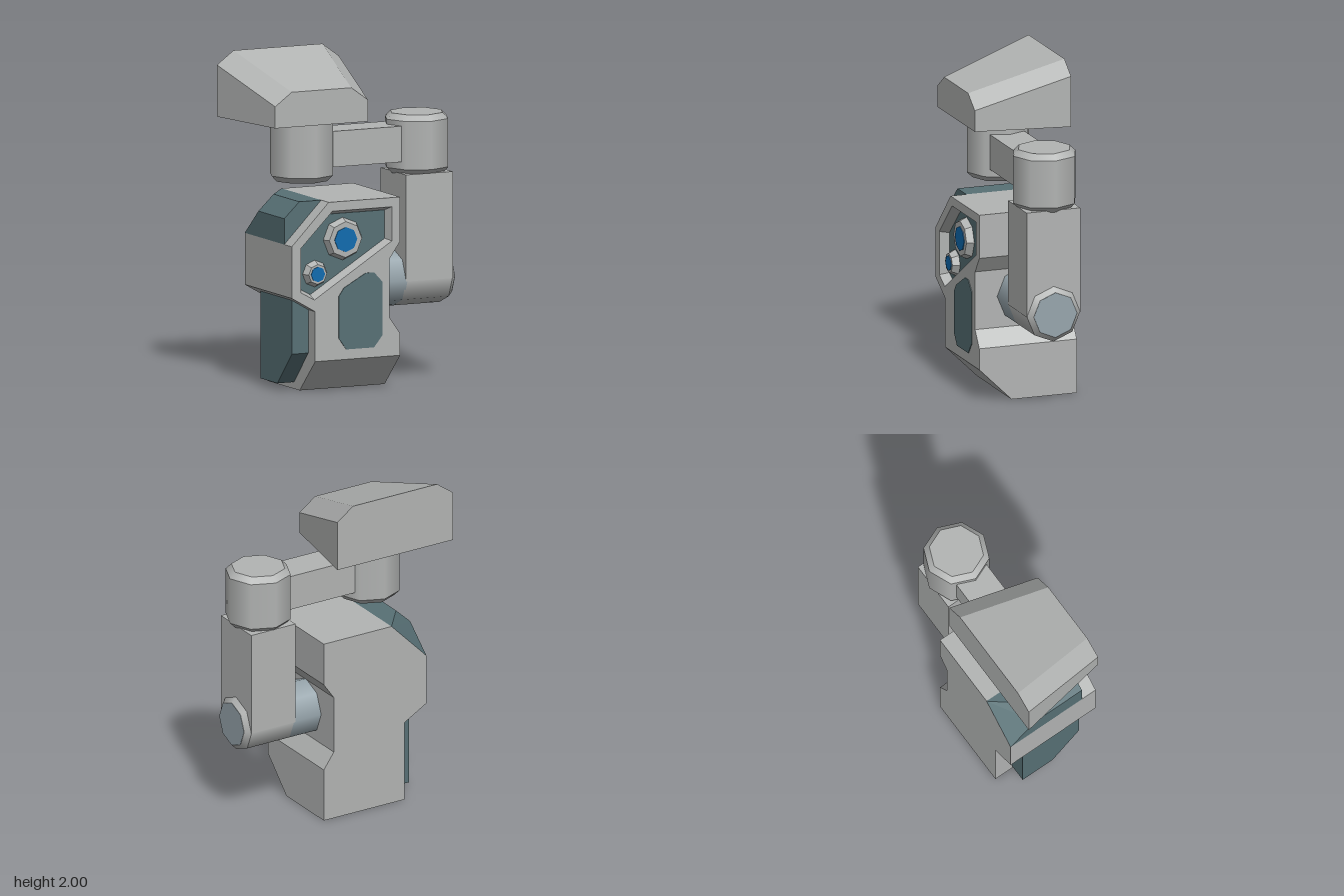
import * as THREE from 'three';
import { mergeGeometries } from 'three/addons/utils/BufferGeometryUtils.js';
import { ConvexGeometry } from 'three/addons/geometries/ConvexGeometry.js';

const material = (name, color, side = THREE.FrontSide) => {
  const m = new THREE.MeshStandardMaterial({ color, side });
  m.name = name;
  return m;
};
const v2 = (pts) => pts.map(([x, y]) => new THREE.Vector2(x, y));
const hull = (pts) => new ConvexGeometry(pts.map((p) => new THREE.Vector3(...p)));

// Flat outline pushed out from z0 to z1
function slab(pts, z0, z1, hole) {
  const shape = new THREE.Shape(v2(pts));
  if (hole) shape.holes.push(new THREE.Path(v2(hole)));
  const g = new THREE.ExtrudeGeometry(shape, { depth: z1 - z0, bevelEnabled: false });
  return g.translate(0, 0, z0);
}

// Band of flat quads between two matching outlines
function band(a, za, b, zb) {
  const pos = [];
  a.forEach((p, i) => {
    const j = (i + 1) % a.length;
    const A = [...p, za], B = [...a[j], za], C = [...b[j], zb], D = [...b[i], zb];
    pos.push(...A, ...B, ...C, ...A, ...C, ...D);
  });
  const g = new THREE.BufferGeometry();
  g.setAttribute('position', new THREE.Float32BufferAttribute(pos, 3));
  g.computeVertexNormals();
  return g;
}

// Eight-sided drum along y with rounded side shading and optional chamfered ends
function drum(r, y0, y1, bottom, top, c = 0.035) {
  const rb = bottom ? r - c : r, rt = top ? r - c : r;
  const a = bottom ? y0 + c : y0, b = top ? y1 - c : y1;
  const tube = (lo, hi, p, q) =>
    new THREE.CylinderGeometry(hi, lo, q - p, 8, 1, true).translate(0, (p + q) / 2, 0);
  const parts = [
    tube(r, r, a, b),
    new THREE.CircleGeometry(rt, 8).rotateX(-Math.PI / 2).translate(0, y1, 0),
    new THREE.CircleGeometry(rb, 8).rotateX(Math.PI / 2).translate(0, y0, 0),
  ];
  if (bottom) parts.push(tube(rb, r, y0, a));
  if (top) parts.push(tube(r, rt, b, y1));
  return mergeGeometries(parts);
}

export function createModel() {
  const model = new THREE.Group();
  model.name = 'device';
  const grey = material('light grey', 0xb2b4b3);
  const greyOpen = material('light grey open', 0xb2b4b3, THREE.DoubleSide);
  const teal = material('dark teal', 0x577075);
  const steel = material('blue grey', 0x97a5ac);
  const blue = material('lens blue', 0x0d6bb0);
  const add = (name, geo, mat) => {
    const m = new THREE.Mesh(geo, mat);
    m.name = name;
    model.add(m);
    return m;
  };

  // Main body with a recessed window
  const outline = [[-0.345, 0.2], [0.22, 0.2], [0.22, 0.33], [0.15, 0.43], [0.15, 0.785], [0.22, 0.885],
    [0.22, 1.15], [-0.255, 1.15], [-0.5, 0.9], [-0.5, 0.59], [-0.345, 0.5]];
  const rim = [[-0.23, 1.095], [0.165, 1.095], [0.165, 0.89], [-0.35, 0.57], [-0.44, 0.62], [-0.44, 0.885]];
  const well = [[-0.22, 1.07], [0.145, 1.07], [0.145, 0.9], [-0.35, 0.595], [-0.42, 0.633], [-0.42, 0.877]];
  const floorZ = 0.25;
  add('body', slab(outline, -0.31, floorZ), grey);
  add('bodyFront', slab(outline, floorZ, 0.31, rim), grey);
  add('windowBevel', band(rim, 0.31, well, floorZ), greyOpen);
  add('windowFloor', slab(well, floorZ, floorZ + 0.004), teal);

  // Foot of the body, cut away at the front
  const foot = [];
  for (const x of [-0.345, 0.22])
    foot.push([x, 0, -0.31], [x, 0, 0.105], [x, 0.2, -0.31], [x, 0.2, 0.31]);
  add('foot', hull(foot), grey);

  // Lower front panel
  add('frontPanel', slab([[-0.19, 0.33], [-0.14, 0.26], [0.045, 0.26], [0.1, 0.33], [0.1, 0.65],
    [0.045, 0.71], [-0.01, 0.71], [-0.155, 0.63], [-0.19, 0.58]], 0.308, 0.314), teal);

  // Lenses: bezel with a blue disc
  for (const [name, x, y, r, lensR] of [['largeLens', -0.135, 0.917, 0.13, 0.075], ['smallLens', -0.32, 0.72, 0.082, 0.046]]) {
    const bezel = new THREE.CylinderGeometry(r - 0.022, r, 0.045, 8).toNonIndexed();
    bezel.computeVertexNormals();
    add(name + 'Bezel', bezel.rotateX(Math.PI / 2).translate(x, y, 0.2735), grey);
    add(name, new THREE.CylinderGeometry(lensR, lensR, 0.006, 8).rotateX(Math.PI / 2).translate(x, y, 0.297), blue);
  }

  // Teal guards on the right flank
  add('upperGuard', hull([
    [-0.255, 1.15, 0.21], [-0.4, 1.15, 0.21], [-0.5, 1.055, 0.21], [-0.5, 0.9, 0.21],
    [-0.4, 1.15, -0.13], [-0.5, 1.055, -0.13], [-0.255, 1.15, -0.31], [-0.5, 0.9, -0.31],
  ]), teal);
  const guard = [];
  for (const x of [-0.455, -0.34])
    guard.push([x, 0.04, -0.19], [x, 0.04, 0.03], [x, 0.24, 0.22], [x, 0.58, 0.22], [x, 0.58, -0.19]);
  add('lowerGuard', hull(guard), teal);

  // Arm: axle out of the body, elbow, upright, shoulder drum, cross beam
  const sideways = (g) => g.rotateZ(-Math.PI / 2).translate(0, 0.62, 0);
  add('axle', sideways(drum(0.17, 0.14, 0.34)), steel);
  add('elbow', sideways(drum(0.17, 0.33, 0.67, false, true, 0.032)), grey);
  add('elbowCap', sideways(new THREE.CylinderGeometry(0.137, 0.137, 0.004, 8).translate(0, 0.67, 0)), steel);
  add('upright', new THREE.BoxGeometry(0.31, 0.64, 0.34).translate(0.485, 0.935, 0), grey);
  add('shoulder', drum(0.198, 1.245, 1.605, true, true).translate(0.485, 0, 0), grey);
  add('crossBeam', new THREE.BoxGeometry(0.455, 0.215, 0.22).translate(0.1025, 1.4325, 0), grey);

  // Head and its neck
  add('neck', drum(0.197, 1.245, 1.615, true, false).translate(-0.28, 0, 0), grey);
  const head = [];
  for (const s of [-1, 1]) {
    const X = (d) => -0.28 + s * d;
    head.push([X(0.405), 1.61, -0.31], [X(0.405), 1.92, -0.31], [X(0.295), 2, -0.31],
      [X(0.308), 1.61, 0.265], [X(0.308), 1.74, 0.265], [X(0.198), 1.82, 0.265]);
  }
  add('head', hull(head), grey);

  return model;
}
